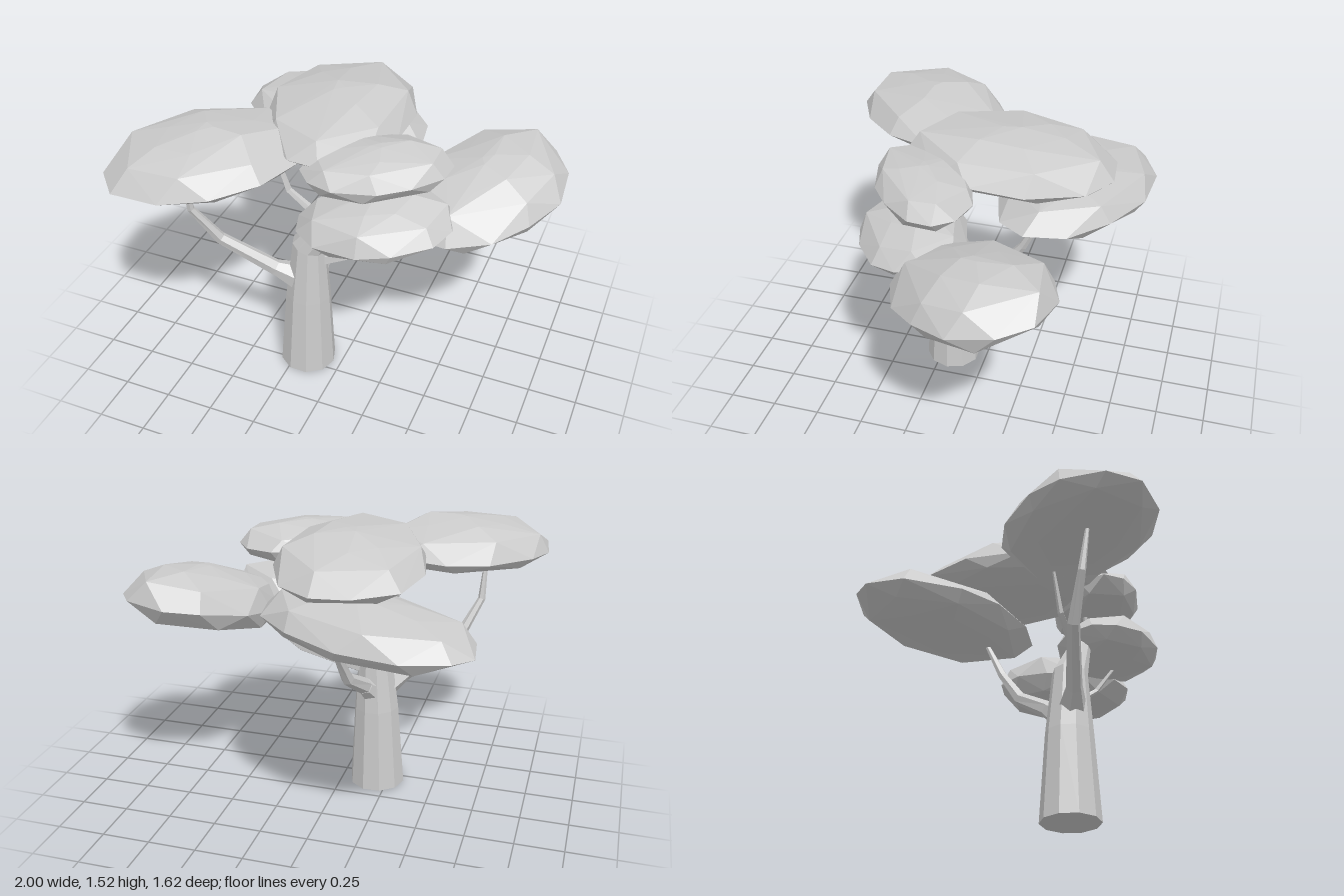
import * as THREE from 'three';
import { ConvexGeometry } from 'three/addons/geometries/ConvexGeometry.js';

const material = new THREE.MeshStandardMaterial({ color: 0xcccccc, flatShading: true });

// Small seeded generator for irregular facets, -1..1
function makeRandom(seed) {
  let s = seed;
  return () => ((s = (s * 16807) % 2147483647) / 2147483647) * 2 - 1;
}

// Limb along a path of [x, y, z], tapering evenly from radius r0 to r1
function limb(name, sides, r0, r1, path) {
  const pts = path.map(p => new THREE.Vector3(...p));
  const positions = [], index = [], last = pts.length - 1;
  const ref = new THREE.Vector3(0, 0, 1);
  pts.forEach((p, i) => {
    const t = pts[Math.min(i + 1, last)].clone().sub(pts[Math.max(i - 1, 0)]).normalize();
    const u = ref.clone().cross(t).normalize();
    const v = t.clone().cross(u);
    const r = THREE.MathUtils.lerp(r0, r1, i / last);
    for (let j = 0; j < sides; j++) {
      const a = (j / sides) * Math.PI * 2;
      const q = p.clone().addScaledVector(u, Math.cos(a) * r).addScaledVector(v, Math.sin(a) * r);
      positions.push(q.x, q.y, q.z);
    }
  });
  for (let i = 0; i < last; i++) {
    for (let j = 0; j < sides; j++) {
      const a = i * sides + j, b = i * sides + (j + 1) % sides;
      index.push(a, b, a + sides, b, b + sides, a + sides);
    }
  }
  // End caps
  const top = last * sides;
  for (let j = 1; j < sides - 1; j++) {
    index.push(0, j + 1, j, top, top + j, top + j + 1);
  }
  const indexed = new THREE.BufferGeometry();
  indexed.setAttribute('position', new THREE.Float32BufferAttribute(positions, 3));
  indexed.setIndex(index);
  const geometry = indexed.toNonIndexed();
  geometry.computeVertexNormals();
  const mesh = new THREE.Mesh(geometry, material);
  mesh.name = name;
  return mesh;
}

// Flattened, faceted leaf cloud: an egg-shaped plan turned by angle, with a
// sloping rim, a dome of given rise above it and a shallow belly below it
function canopy(name, { center, size, angle, egg = 0, slope, rise, drop }, seed) {
  const random = makeRandom(seed * 7919 + 13);
  const [cx, rim, cz] = center;
  const cos = Math.cos(angle), sin = Math.sin(angle);
  const points = [];
  const ring = (count, scale, height, jitter) => {
    const start = random();
    for (let i = 0; i < count; i++) {
      const t = start + ((i + random() * 0.15) / count) * Math.PI * 2;
      const s = scale * (1 + random() * jitter);
      const a = size[0] * s * Math.cos(t);
      const b = size[1] * s * Math.sin(t) * (1 + egg * Math.cos(t));
      const x = a * cos - b * sin, z = a * sin + b * cos;
      const y = rim + slope[0] * x + slope[1] * z + height + random() * jitter * 0.25;
      points.push(new THREE.Vector3(cx + x, y, cz + z));
    }
  };
  ring(12, 1.02, 0, 0.02);
  ring(7, 0.86, rise * 0.58, 0.05);
  ring(6, 0.48, rise * 0.88, 0.06);
  ring(3, 0.1, rise, 0.02);
  ring(7, 0.88, -drop * 0.75, 0.04);
  ring(6, 0.55, -drop, 0.03);
  const mesh = new THREE.Mesh(new ConvexGeometry(points), material);
  mesh.name = name;
  return mesh;
}

export function createModel() {
  const tree = new THREE.Group();
  tree.name = 'tree';

  // Trunk, bending towards the left above the fork
  tree.add(limb('trunk', 10, 0.148, 0.03, [
    [-0.19, 0, 0.19], [-0.18, 0.45, 0.185], [-0.165, 0.77, 0.185],
    [-0.03, 0.97, 0.185], [0.05, 1.1, 0.19]]));

  // Main branches, two of them flaring into the trunk
  tree.add(limb('rightBranchRoot', 6, 0.085, 0.038, [[-0.19, 0.55, 0.2], [-0.33, 0.635, 0.27]]));
  tree.add(limb('rightBranch', 6, 0.042, 0.008, [
    [-0.31, 0.62, 0.26], [-0.575, 0.815, 0.36], [-0.675, 1.02, 0.44], [-0.685, 1.28, 0.48]]));
  tree.add(limb('backBranchRoot', 6, 0.08, 0.042, [[-0.17, 0.53, 0.17], [-0.145, 0.61, 0.06]]));
  tree.add(limb('backBranch', 6, 0.045, 0.012, [
    [-0.145, 0.6, 0.08], [-0.1, 0.72, -0.11], [-0.08, 0.88, -0.22], [-0.06, 1.1, -0.33]]));
  tree.add(limb('leftBranch', 6, 0.045, 0.01, [
    [-0.17, 0.66, 0.18], [0.2, 0.79, 0.09], [0.33, 0.89, 0.06], [0.42, 1.03, 0.05]]));

  // Twigs
  tree.add(limb('leftTwig', 5, 0.02, 0.007, [
    [0.19, 0.79, 0.09], [0.25, 0.87, 0.18], [0.28, 1.02, 0.29]]));
  tree.add(limb('topTwig', 5, 0.026, 0.007, [
    [-0.06, 0.92, 0.185], [-0.27, 1.07, 0.18], [-0.36, 1.32, 0.17]]));
  tree.add(limb('upperFrontTwig', 5, 0.025, 0.01, [
    [0, 1.02, 0.185], [0.14, 1.18, 0.17], [0.1, 1.3, 0.17]]));

  // Leaf clouds
  const canopies = {
    frontRightCanopy: { center: [-0.58, 1.315, 0.39], size: [0.485, 0.345], angle: 2.38,
      slope: [0.04, -0.03], rise: 0.16, drop: 0.075 },
    topCanopy: { center: [-0.13, 1.355, -0.14], size: [0.51, 0.36], angle: 1.47, egg: -0.15,
      slope: [0, 0.03], rise: 0.16, drop: 0.08 },
    backCanopy: { center: [-0.28, 1.145, -0.455], size: [0.54, 0.335], angle: 0.33,
      slope: [0.05, -0.03], rise: 0.14, drop: 0.085 },
    leftCanopy: { center: [0.63, 1.085, -0.145], size: [0.43, 0.325], angle: -1.0, egg: 0.1,
      slope: [0.08, -0.18], rise: 0.185, drop: 0.115 },
    upperFrontCanopy: { center: [0.2, 1.335, 0.2], size: [0.35, 0.225], angle: -0.53,
      slope: [0, 0], rise: 0.115, drop: 0.09 },
    lowerFrontCanopy: { center: [0.215, 1.06, 0.255], size: [0.37, 0.265], angle: -0.3,
      slope: [0.07, -0.05], rise: 0.15, drop: 0.075 },
  };
  Object.entries(canopies).forEach(([name, c], i) => tree.add(canopy(name, c, i + 1)));
  return tree;
}
